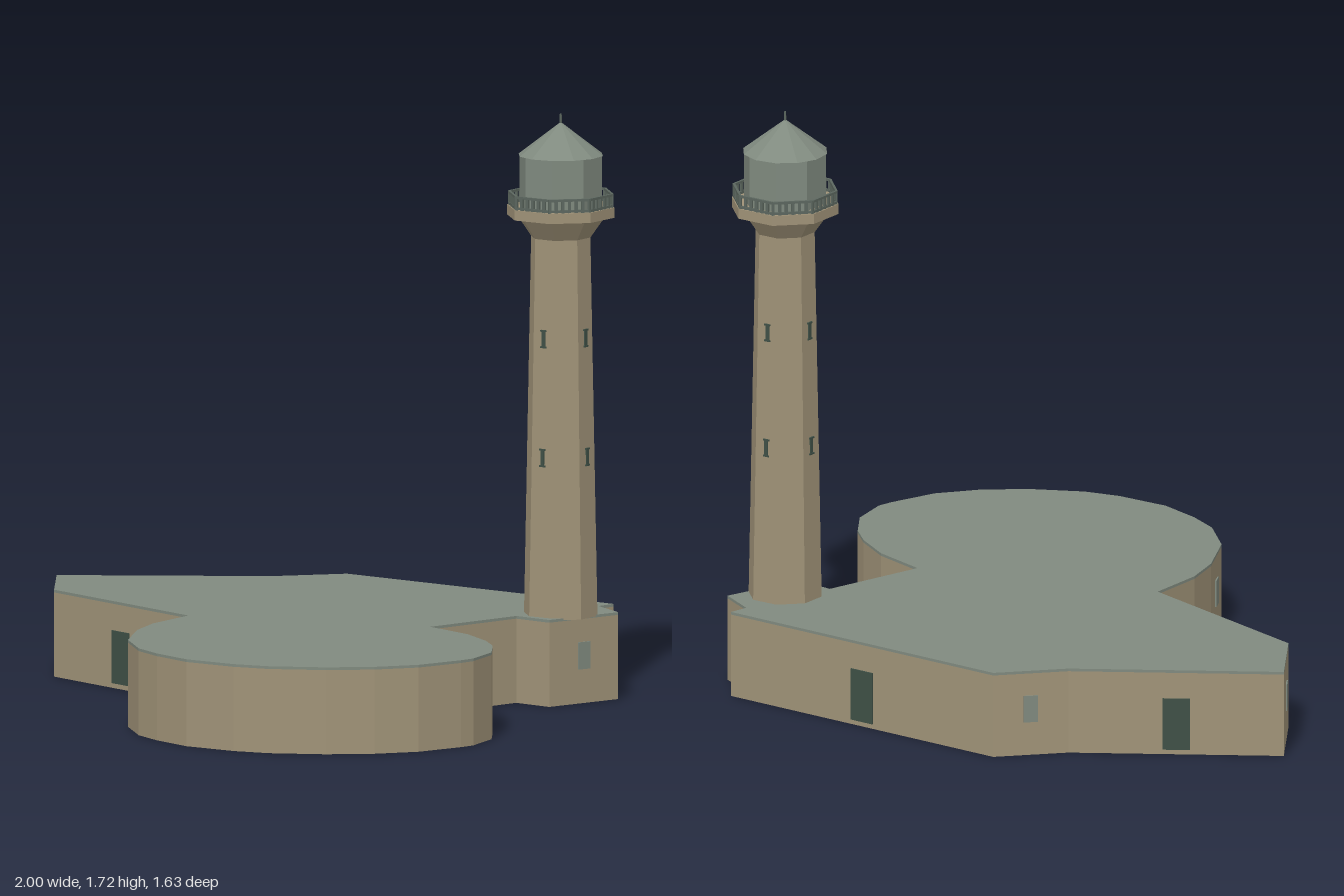
import * as THREE from 'three';

const mat = (name, color) => { const m = new THREE.MeshStandardMaterial({ color }); m.name = name; return m; };

// footprint corners as [x, z], walking with the outside on the right-hand (front) side
const OUTLINE = [
  [-1, -0.03], [-0.8, 0.17], [-0.17, 0.23], [-0.13, 0.41], [-0.07, 0.53], [0.05, 0.68], [0.19, 0.77],
  [0.30, 0.8], [0.44, 0.815], [0.60, 0.78], [0.70, 0.735], [0.83, 0.63], [0.92, 0.52], [0.98, 0.40],
  [1, 0.25], [1, 0.20], [0.95, 0.08], [0.86, -0.01], [0.78, -0.06], [0.65, -0.11], [0.47, -0.13],
  [0.49, -0.455], [0.613, -0.47], [0.64, -0.72], [0.515, -0.76], [0.515, -0.82], [-0.44, -0.66], [-0.555, -0.47],
];
const CX = 0.54, CZ = -0.585, TURN = 0.6; // tower axis and octagon rotation

export function createModel() {
  const stone = mat('stone', 0xa09378);
  const roofing = mat('greyGreenRoofing', 0x808a7f);
  const dark = mat('darkGreen', 0x3f5046);
  const iron = mat('railingIron', 0x5c675f);

  const model = new THREE.Group();
  model.name = 'lighthouse';
  const add = (name, geo, material, parent = model) => {
    const m = new THREE.Mesh(geo, material);
    m.name = name;
    parent.add(m);
    return m;
  };

  // low building: walls and thin roof slab
  const shape = new THREE.Shape(OUTLINE.map(([x, z]) => new THREE.Vector2(x, -z)));
  const slab = (name, y, height, material) => {
    const g = new THREE.ExtrudeGeometry(shape, { depth: height, bevelEnabled: false });
    g.rotateX(-Math.PI / 2).translate(0, y, 0);
    add(name, g, material);
  };
  slab('buildingWalls', 0, 0.247, stone);
  slab('buildingRoof', 0.247, 0.008, roofing);

  // thin plates centred on the wall that starts at outline corner i
  const plate = (name, i, w, h, y, material) => {
    const [ax, az] = OUTLINE[i], [bx, bz] = OUTLINE[(i + 1) % OUTLINE.length];
    const p = add(name, new THREE.BoxGeometry(w, h, 0.008), material);
    p.position.set((ax + bx) / 2, y, (az + bz) / 2);
    p.rotation.y = Math.atan2(az - bz, bx - ax);
    return p;
  };
  for (const i of [1, 25, 27]) plate('door', i, 0.08, 0.155, 0.092, dark);
  for (const i of [0, 2, 4, 19, 20, 22, 26]) plate('window', i, 0.042, 0.08, 0.14, roofing);

  // lighthouse tower
  const tower = new THREE.Group();
  tower.name = 'tower';
  tower.position.set(CX, 0, CZ);
  model.add(tower);
  const prism = (name, rBottom, rTop, y0, y1, material, sides = 8) => {
    let g = new THREE.CylinderGeometry(rTop, rBottom, y1 - y0, sides, 1, false, TURN);
    g = g.toNonIndexed();
    g.computeVertexNormals();
    g.translate(0, (y0 + y1) / 2, 0);
    return add(name, g, material, tower);
  };
  prism('shaft', 0.109, 0.088, 0.25, 1.36, stone);
  prism('galleryFlare', 0.088, 0.13, 1.36, 1.42, stone);
  prism('galleryDeck', 0.159, 0.159, 1.42, 1.45, stone);
  prism('lanternRoom', 0.122, 0.122, 1.45, 1.6, roofing);
  prism('lanternRoof', 0.125, 0.002, 1.6, 1.695, roofing, 12);
  prism('finial', 0.004, 0.003, 1.68, 1.72, iron, 6);

  // narrow shaft windows with lintel and sill on four faces
  for (let k = 0; k < 4; k++) {
    const a = TURN - Math.PI / 8 + k * Math.PI / 2;
    for (const y of [0.722, 1.07]) {
      const apothem = (0.109 - 0.021 * (y - 0.25) / 1.11) * Math.cos(Math.PI / 8);
      const w = new THREE.Group();
      w.name = 'shaftWindow';
      w.position.set(Math.sin(a) * apothem, y, Math.cos(a) * apothem);
      w.rotation.y = a;
      tower.add(w);
      add('pane', new THREE.BoxGeometry(0.012, 0.05, 0.006), dark, w);
      for (const s of [-1, 1]) {
        add('sill', new THREE.BoxGeometry(0.02, 0.005, 0.009), dark, w).position.y = s * 0.024;
      }
    }
  }

  // gallery railing: posts and two rails along each octagon side
  const R = 0.153, side = 2 * R * Math.sin(Math.PI / 8), ap = R * Math.cos(Math.PI / 8);
  for (let k = 0; k < 8; k++) {
    const panel = new THREE.Group();
    panel.name = 'railingPanel';
    const a = TURN + Math.PI / 8 + k * Math.PI / 4;
    panel.position.set(Math.sin(a) * ap, 0, Math.cos(a) * ap);
    panel.rotation.y = a;
    tower.add(panel);
    for (const y of [1.455, 1.487]) {
      add('rail', new THREE.BoxGeometry(side, 0.007, 0.007), iron, panel).position.y = y;
    }
    for (let j = 0; j < 6; j++) {
      add('post', new THREE.BoxGeometry(0.009, 0.04, 0.006), iron, panel).position.set((j / 6 - 0.5) * side, 1.47, 0);
    }
  }
  return model;
}
